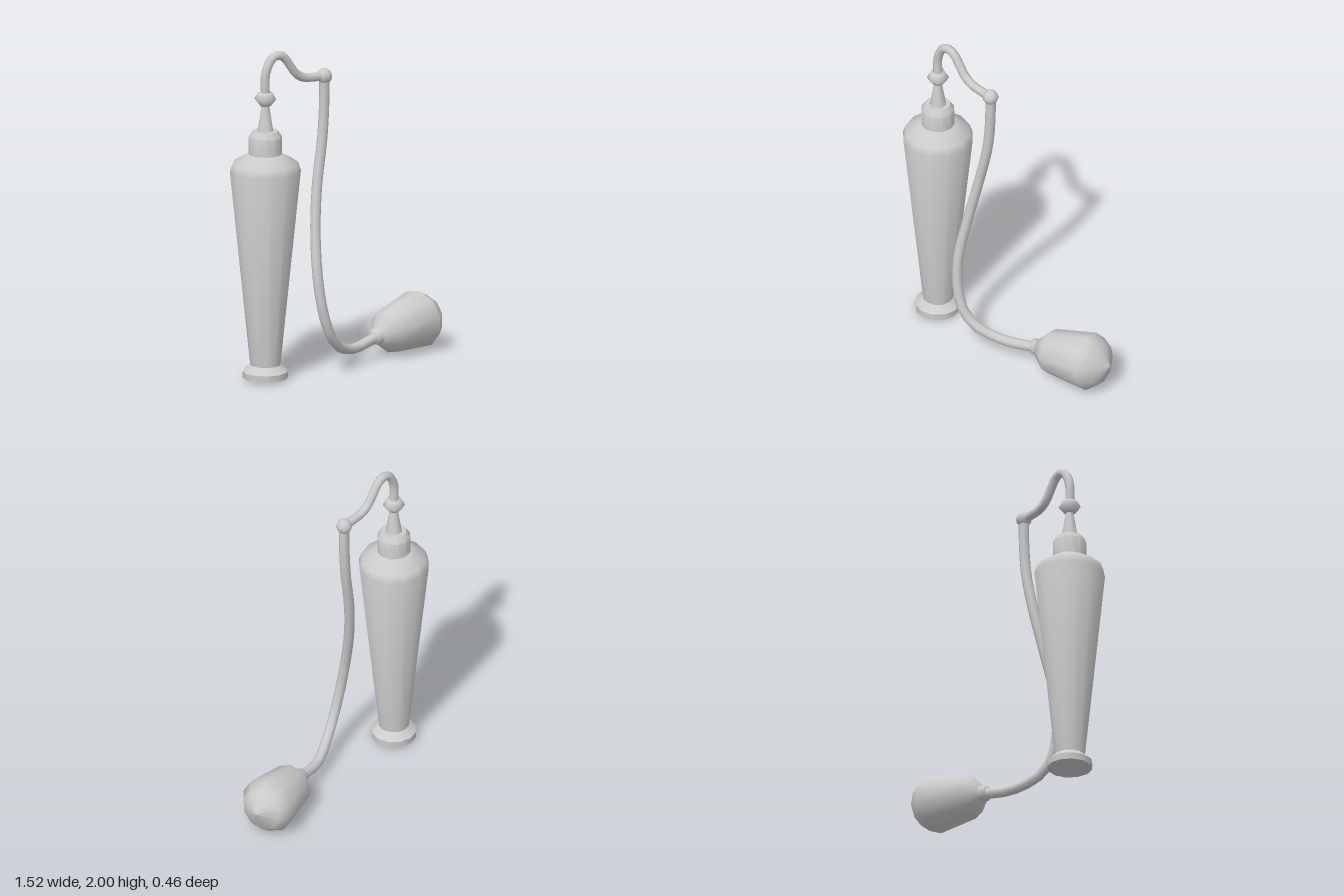
import * as THREE from 'three';
import { toCreasedNormals } from 'three/addons/utils/BufferGeometryUtils.js';

const material = new THREE.MeshStandardMaterial({ color: 0xcccccc });
const AXIS_X = -0.55, AXIS_Z = 0.015;

function part(name, geometry) {
  const mesh = new THREE.Mesh(geometry, material);
  mesh.name = name;
  return mesh;
}

// Profile is a list of [radius, height], from bottom to top
function lathe(profile, sides) {
  return new THREE.LatheGeometry(profile.map(([r, y]) => new THREE.Vector2(r, y)), sides);
}

// Turned part standing on the bottle's axis
function turned(name, profile, sides, crease = 0.7) {
  const mesh = part(name, toCreasedNormals(lathe(profile, sides), crease));
  mesh.position.set(AXIS_X, 0, AXIS_Z);
  return mesh;
}

function tube(name, points, radius, segments) {
  const curve = new THREE.CatmullRomCurve3(points.map((p) => new THREE.Vector3(...p)));
  return part(name, new THREE.TubeGeometry(curve, segments, radius, 8));
}

export function createModel() {
  const group = new THREE.Group();

  // Bottle: foot, tapered body, collar, nozzle and bead
  group.add(
    turned('foot', [[0, 0.015], [0.135, 0.015], [0.136, 0.055], [0.09, 0.095], [0, 0.095]], 12),
    turned('body', [[0, 0.09], [0.09, 0.09], [0.212, 1.28], [0.196, 1.328], [0.1, 1.385], [0, 1.385]], 12, 0.95),
    turned('collar', [[0.1, 1.375], [0.1, 1.49], [0.075, 1.525], [0, 1.525]], 12),
    turned('nozzle', [[0.05, 1.515], [0.02, 1.7]], 10),
    turned('nozzleBead', [[0, 1.675], [0.032, 1.678], [0.066, 1.72], [0.045, 1.757], [0, 1.765]], 8, 1.6)
  );

  // Curved metal pipe leaving the nozzle
  const pipe = [
    [-0.55, 1.74], [-0.55, 1.86], [-0.53, 1.92], [-0.5, 1.96], [-0.455, 1.973], [-0.415, 1.955],
    [-0.375, 1.905], [-0.33, 1.845], [-0.275, 1.81], [-0.2, 1.8], [-0.12, 1.795]
  ].map(([x, y]) => [x, y, AXIS_Z]);
  group.add(tube('pipe', pipe, 0.027, 20));

  // Ball joint between pipe and hose
  const joint = part('joint', new THREE.SphereGeometry(0.048, 8, 6));
  joint.position.set(-0.12, 1.795, AXIS_Z);
  group.add(joint);

  // Hanging hose
  group.add(tube('hose', [
    [-0.12, 1.79, 0.015], [-0.12, 1.65, 0.015], [-0.138, 1.42, 0.02], [-0.19, 1.15, 0.04],
    [-0.235, 0.88, 0.085], [-0.26, 0.6, 0.145], [-0.24, 0.4, 0.17], [-0.19, 0.255, 0.17],
    [-0.11, 0.165, 0.142], [0.05, 0.108, 0.07], [0.27, 0.14, 0.016]
  ], 0.031, 26));

  // Squeeze bulb, turned along its own tilted axis
  const bulb = new THREE.Group();
  bulb.name = 'squeezeBulb';
  bulb.add(
    part('bulbCollar', lathe([[0.03, -0.02], [0.045, -0.015], [0.055, 0.03]], 10)),
    part('bulb', lathe([[0, 0.018], [0.057, 0.025], [0.133, 0.112], [0.175, 0.388], [0.126, 0.463], [0, 0.521]], 10))
  );
  bulb.position.set(0.25, 0.14, 0.02);
  bulb.quaternion.setFromUnitVectors(
    new THREE.Vector3(0, 1, 0), new THREE.Vector3(1, 0.1, -0.225).normalize());
  group.add(bulb);

  return group;
}
